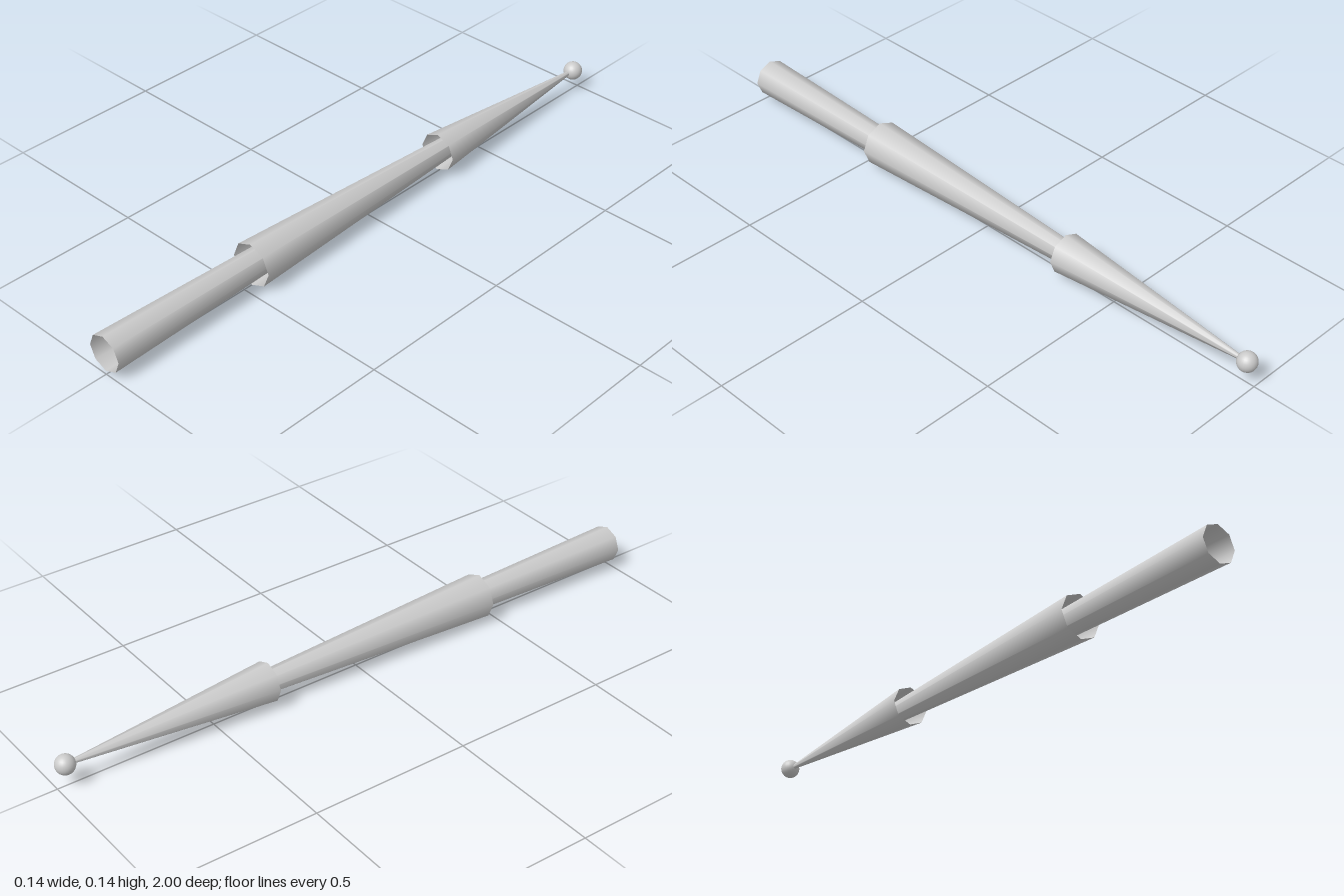
import * as THREE from 'three';

const AXIS_Y = 0.07;
const TIP_Z = -0.97;

export function createModel() {
  const model = new THREE.Group();
  const material = new THREE.MeshStandardMaterial({ color: 0xcccccc, side: THREE.DoubleSide });

  // Nested open eight-sided sleeves, all tapering to the same tip
  const sleeves = [
    ['innerSleeve', 1, 0.058],
    ['middleSleeve', 0.47, 0.07],
    ['outerSleeve', -0.31, 0.062],
  ];
  for (const [name, frontZ, radius] of sleeves) {
    const length = frontZ - TIP_Z;
    const geometry = new THREE.CylinderGeometry(radius, 0.005, length, 8, 1, true);
    geometry.rotateX(Math.PI / 2);
    const sleeve = new THREE.Mesh(geometry, material);
    sleeve.name = name;
    sleeve.position.set(0, AXIS_Y, TIP_Z + length / 2);
    model.add(sleeve);
  }

  // Ball on the tip
  const ball = new THREE.Mesh(new THREE.SphereGeometry(0.03, 24, 16), material);
  ball.name = 'tipBall';
  ball.position.set(0, AXIS_Y, TIP_Z);
  model.add(ball);

  return model;
}
